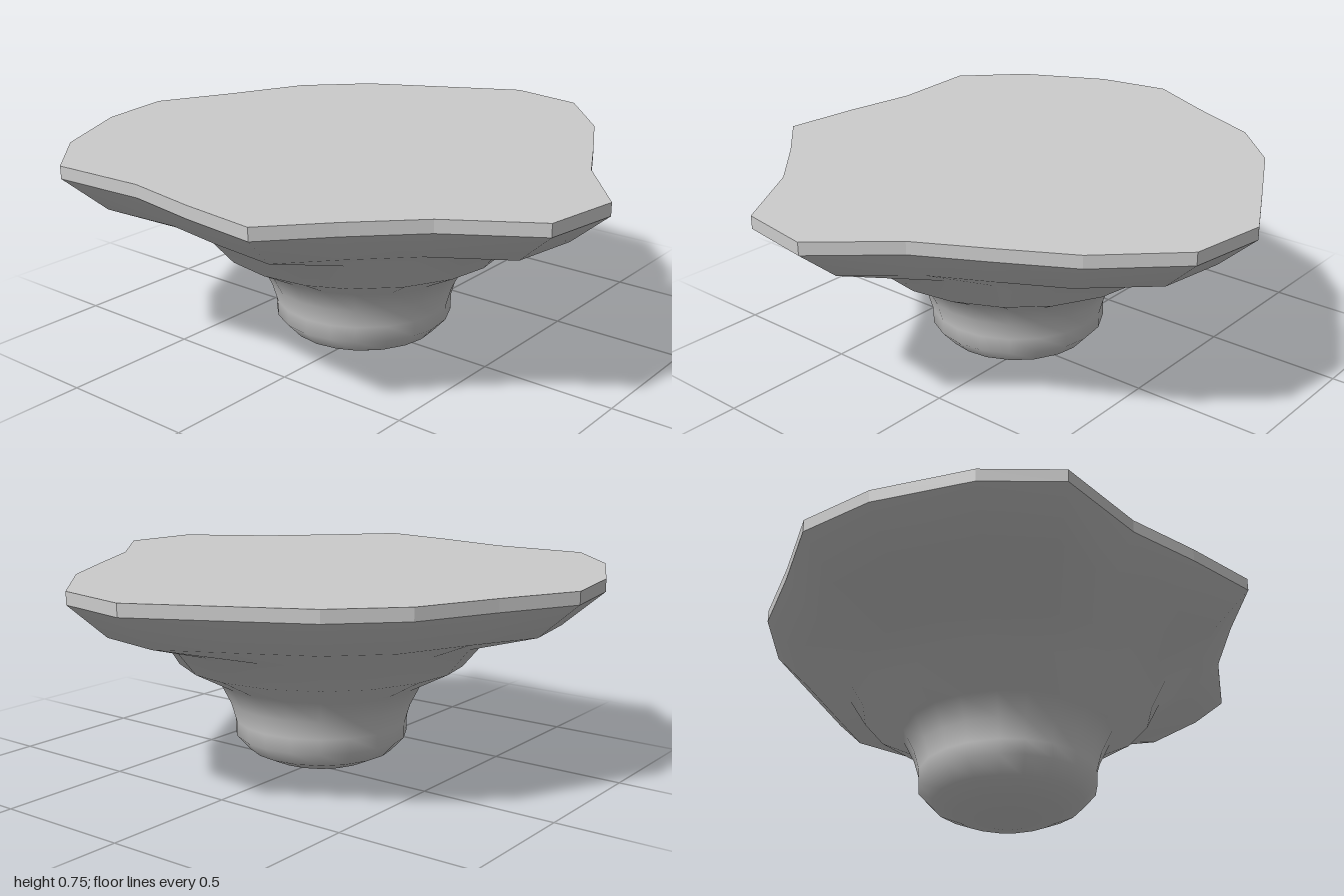
import * as THREE from 'three';

// Irregular rim outline (x, z), in order around the model
const OUTLINE = [
  [-0.11, -1.0], [0.16, -0.86], [0.44, -0.73], [0.64, -0.53], [0.78, -0.27],
  [0.935, 0.02], [0.89, 0.3], [0.64, 0.53], [0.4, 0.66], [0.16, 0.785],
  [-0.09, 0.995], [-0.365, 0.95], [-0.55, 0.66], [-0.745, 0.46], [-0.94, 0.28],
  [-0.915, 0], [-0.875, -0.27], [-0.9, -0.615], [-0.7, -0.81], [-0.385, -0.96],
];
const N = OUTLINE.length;
const CX = -0.06; // axis of the round foot

// Rings from the foot upward: [height, radius, how far the ring follows the outline]
const RINGS = [
  [0.005, 0, 0], [0.012, 0.1, 0], [0.032, 0.19, 0], [0.07, 0.27, 0],
  [0.125, 0.32, 0], [0.18, 0.32, 0], [0.25, 0.34, 0], [0.33, 0.38, 0],
  [0.41, 0.53, 0.05], [0.51, 0.61, 0.3], [0.583, 0.86, 1], [0.705, 1, 1],
];

function ringPoint([y, r, follow], j) {
  const [x, z] = OUTLINE[j % N];
  const dx = x - CX, d = Math.hypot(dx, z);
  const k = r * (1 - follow + follow * d) / d;
  return [CX + dx * k, y, z * k];
}

// Rim height varies a little around the edge
function rimPoint(j, h) {
  const [x, z] = OUTLINE[j % N];
  return [x, h + 0.004 * (x - z), z];
}

function makeMesh(name, positions, index) {
  const g = new THREE.BufferGeometry();
  g.setAttribute('position', new THREE.Float32BufferAttribute(positions, 3));
  if (index) g.setIndex(index);
  g.computeVertexNormals();
  const m = new THREE.Mesh(g, new THREE.MeshStandardMaterial({ color: 0xcccccc }));
  m.name = name;
  return m;
}

export function createModel() {
  const group = new THREE.Group();
  group.name = 'stemmedSlab';

  // Smooth flaring underside with rounded foot
  const pos = [], idx = [];
  const last = RINGS.length - 1;
  const at = (i, j) => (i === 0 ? 0 : 1 + (i - 1) * N + (j % N));
  pos.push(CX, RINGS[0][0], 0);
  for (let i = 1; i <= last; i++)
    for (let j = 0; j < N; j++)
      pos.push(...(i === last ? rimPoint(j, RINGS[i][0]) : ringPoint(RINGS[i], j)));
  for (let i = 0; i < last; i++)
    for (let j = 0; j < N; j++) {
      const a = at(i, j), b = at(i, j + 1), c = at(i + 1, j), d = at(i + 1, j + 1);
      idx.push(a, c, d);
      if (i > 0) idx.push(a, d, b);
    }
  group.add(makeMesh('underside', pos, idx));

  // Faceted rim band and flat top
  const rim = [], top = [];
  for (let j = 0; j < N; j++) {
    const a = rimPoint(j, 0.705), b = rimPoint(j + 1, 0.705);
    const c = rimPoint(j, 0.75), d = rimPoint(j + 1, 0.75);
    rim.push(...a, ...c, ...d, ...a, ...d, ...b);
    top.push(CX, 0.75, 0, ...d, ...c);
  }
  group.add(makeMesh('rim', rim));
  group.add(makeMesh('topSurface', top));

  return group;
}
